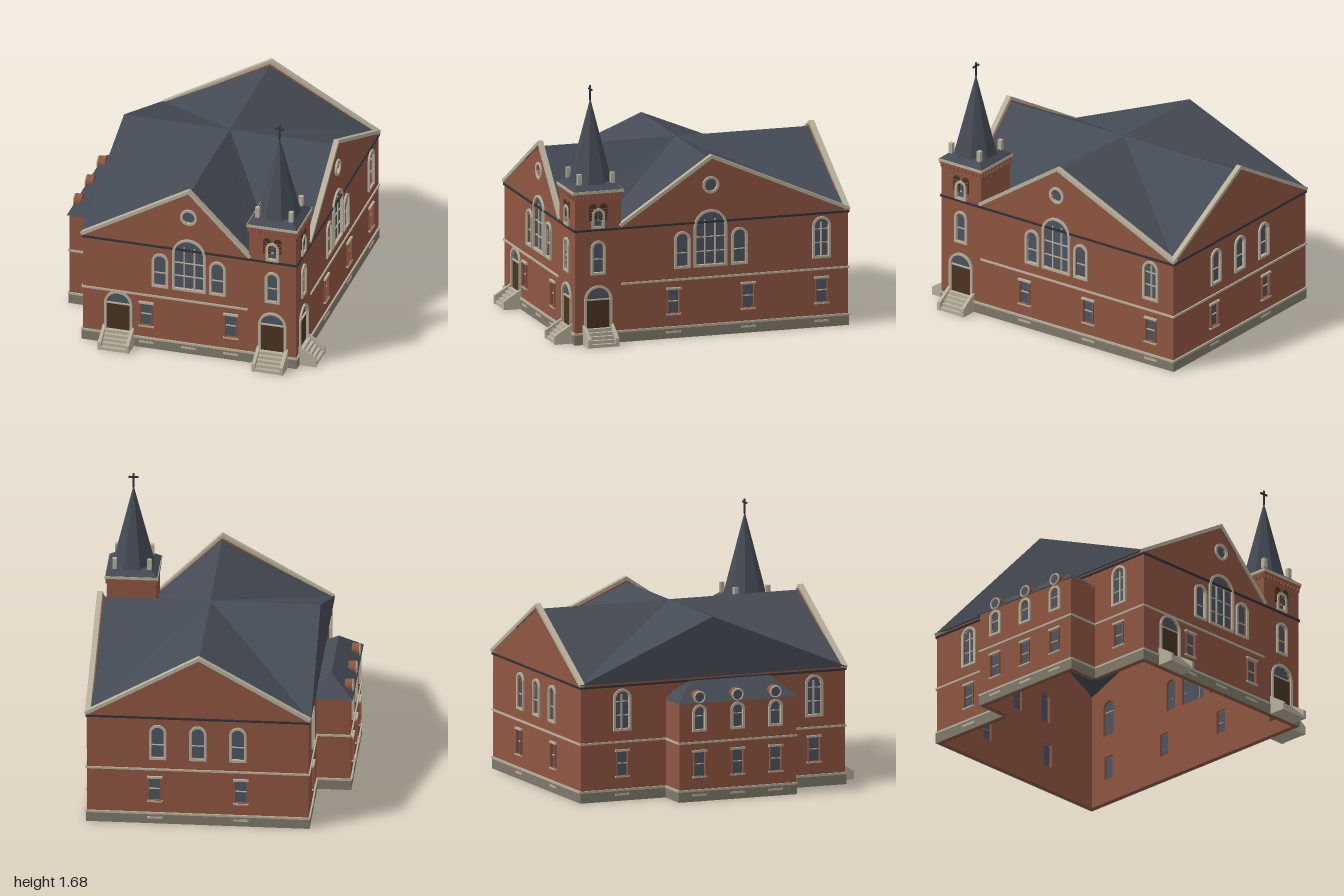
import * as THREE from 'three';

const mat = (name, color, double) => {
  const m = new THREE.MeshStandardMaterial({ color });
  m.name = name;
  if (double) m.side = THREE.DoubleSide;
  return m;
};
const M = {
  brick: mat('red brick', 0x8f5641),
  roof: mat('slate roof', 0x454b55, true),
  trim: mat('pale stone trim', 0xb7b09b),
  stone: mat('foundation stone', 0x7f7969),
  glass: mat('window glass', 0x4d5562, true),
  wood: mat('dark wood', 0x4a3422, true),
  iron: mat('dark iron', 0x2f3238),
};

function add(parent, name, geo, material, x = 0, y = 0, z = 0) {
  const m = new THREE.Mesh(geo, material);
  m.name = name;
  m.position.set(x, y, z);
  parent.add(m);
  return m;
}
const box = (p, name, m, w, h, d, x, y, z) => add(p, name, new THREE.BoxGeometry(w, h, d), m, x, y, z);
const extrude = (shape, depth) => new THREE.ExtrudeGeometry(shape, { depth, bevelEnabled: false, curveSegments: 12 });
const poly = (pts) => new THREE.Shape(pts.map(([x, y]) => new THREE.Vector2(x, y)));

// Flat faces given as corner loops
function faces(loops) {
  const v = [];
  for (const l of loops)
    for (let i = 1; i < l.length - 1; i++) v.push(...l[0], ...l[i], ...l[i + 1]);
  const g = new THREE.BufferGeometry();
  g.setAttribute('position', new THREE.Float32BufferAttribute(v, 3));
  g.computeVertexNormals();
  return g;
}

// Outline of an opening, shrunk by t
function outline(o, t = 0) {
  const s = new THREE.Shape();
  const r = o.w / 2 - t;
  if (o.kind === 'round') return s.absarc(o.u, o.y0, r, 0, Math.PI * 2, false);
  const b = o.y0 + (o.kind === 'door' ? 0 : t);
  const top = o.kind === 'rect' ? o.y1 - t : o.y1 - o.w / 2;
  s.moveTo(o.u - r, b);
  s.lineTo(o.u + r, b);
  s.lineTo(o.u + r, top);
  if (o.kind === 'rect') s.lineTo(o.u - r, top);
  else s.absarc(o.u, top, r, 0, Math.PI, false);
  s.closePath();
  return s;
}
const frameWidth = (o) => (o.kind === 'rect' ? 0.006 : 0.016);

// Frame, glazing and bars of one opening
function fillOpening(p, o) {
  const t = frameWidth(o);
  const ring = outline(o);
  ring.holes.push(outline(o, t));
  add(p, o.kind + 'Frame', extrude(ring, 0.024), o.kind === 'rect' ? M.brick : M.trim, 0, 0, -0.012);
  add(p, o.kind + 'Glass', new THREE.ShapeGeometry(outline(o, t)), M.glass, 0, 0, -0.01);
  const w = o.w - 2 * t;
  if (o.kind === 'door') {
    const h = o.y1 - o.w / 2 - o.y0;
    box(p, 'doorLeaf', M.wood, w, h, 0.008, o.u, o.y0 + h / 2, -0.008);
    box(p, 'doorTransom', M.trim, w, 0.008, 0.012, o.u, o.y0 + h, -0.004);
  } else if (o.kind !== 'round') {
    for (const y of o.bars || [(o.y0 + o.y1) / 2])
      box(p, 'crossBar', M.trim, w, 0.006, 0.008, o.u, y, -0.006);
    for (const du of o.posts || [])
      box(p, 'mullion', M.trim, 0.009, o.y1 - o.y0 - o.w * 0.3, 0.008, o.u + du, (o.y0 + o.y1 - o.w * 0.3) / 2, -0.006);
  }
  if (o.kind === 'rect') {
    box(p, 'lintel', M.trim, o.w + 0.014, 0.014, 0.03, o.u, o.y1, 0);
    box(p, 'sill', M.trim, o.w + 0.014, 0.01, 0.03, o.u, o.y0, 0);
  }
}

const rect = (u) => ({ kind: 'rect', u, w: 0.086, y0: 0.16, y1: 0.33 });
const arch = (u, y1 = 0.705, w = 0.112, more = {}) => ({ kind: 'arch', u, w, y0: 0.458, y1, bars: [0.56], ...more });
const tall = (u) => arch(u, 0.735, 0.125, { bars: [0.56, 0.65], posts: [0] });
const big = (u) => arch(u, 0.837, 0.226, { bars: [0.56, 0.655, 0.75], posts: [-0.035, 0.035] });
const rose = (u) => ({ kind: 'round', u, y0: 1.0, w: 0.114 });
const door = (u) => ({ kind: 'door', u, w: 0.19, y0: 0.1, y1: 0.387 });

// Wall with openings; local x runs along the wall, local z points outward
function facade(root, name, x, z, ry, pts, openings, { span, course = span, gutter = span, vents = [], rakes = [] }) {
  const g = new THREE.Group();
  g.name = name;
  g.position.set(x, 0, z);
  g.rotation.y = ry;
  root.add(g);
  const s = poly(pts);
  for (const o of openings) s.holes.push(outline(o, frameWidth(o)));
  add(g, 'brickWall', extrude(s, 0.03), M.brick, 0, 0, -0.03);
  for (const o of openings) fillOpening(g, o);
  const strip = (n, m, [a, b], y, h, out) => box(g, n, m, b - a, h, out + 0.005, (a + b) / 2, y, (out - 0.005) / 2);
  strip('foundation', M.stone, span, 0.033, 0.066, 0.006);
  strip('waterTable', M.trim, span, 0.072, 0.014, 0.01);
  if (course) strip('stringCourse', M.trim, course, 0.386, 0.013, 0.009);
  if (gutter) strip('gutter', M.iron, gutter, 0.755, 0.013, 0.009);
  for (const u of vents) box(g, 'vent', M.trim, 0.1, 0.015, 0.008, u, 0.042, 0.005);
  for (const [a, b, c, d] of rakes) {
    const r = box(g, 'gableTrim', M.trim, Math.hypot(c - a, d - b) + 0.012, 0.022, 0.035, (a + c) / 2, (b + d) / 2, -0.006);
    r.rotation.z = Math.atan2(d - b, c - a);
  }
  return g;
}

// Steps climbing toward the wall between sloping cheeks
function stairs(parent, u) {
  const g = new THREE.Group();
  g.name = 'steps';
  g.position.x = u;
  parent.add(g);
  for (let i = 0; i < 5; i++) {
    const d = 0.115 - i * 0.022, h = 0.021;
    box(g, 'step', M.trim, 0.17, h, d, 0, h * (i + 0.5), d / 2);
  }
  const cheek = extrude(poly([[0, 0], [0.12, 0], [0.12, 0.055], [0, 0.13]]), 0.022);
  cheek.rotateY(-Math.PI / 2);
  for (const x of [-0.083, 0.105]) add(g, 'stairCheek', cheek, M.trim, x, 0, 0);
}

// Belfry openings and tall window on an outer tower face
function towerFace(g, u) {
  for (const s of [-1, 1]) {
    const o = { kind: 'arch', u: u + s * 0.036, w: 0.052, y0: 0.82, y1: 0.93 };
    add(g, 'louver', extrude(outline(o), 0.004), M.wood);
    for (let i = 0; i < 4; i++) box(g, 'slat', M.brick, 0.046, 0.005, 0.005, o.u, 0.835 + i * 0.02, 0.003);
  }
}

export function createModel() {
  const root = new THREE.Group();
  root.name = 'church';
  const H = Math.PI / 2;
  const belfry = (u) => ({ kind: 'arch', u, w: 0.088, y0: 0.765, y1: 0.9, bars: [0.82] });
  const tx = 0.62, tz = 0.723;

  // Main walls
  const front = facade(root, 'frontWall', 0, 0.88, 0,
    [[-0.66, 0], [0.78, 0], [0.78, 1], [0.46, 1], [0.46, 0.775], [0.055, 1.175], [-0.66, 0.775]],
    [door(-0.42), door(tx), rect(-0.23), rect(0.34), arch(-0.137), arch(0.25), big(0.057), rose(0.055), arch(tx, 0.685, 0.1), belfry(tx)],
    { span: [-0.666, 0.786], course: [-0.666, 0.455], vents: [-0.23, 0.055, 0.34],
      rakes: [[-0.665, 0.775, 0.055, 1.187], [0.465, 0.775, 0.055, 1.187]] });
  const right = facade(root, 'rightWall', 0.78, 0, H,
    [[-0.88, 0], [0.98, 0], [0.98, 0.775], [0.05, 1.175], [-0.565, 0.775], [-0.565, 1], [-0.88, 1]],
    [door(-tz), rect(-0.21), rect(0.3), rect(0.8), arch(-0.15), arch(0.24), big(0.042), tall(0.8), rose(0.045), arch(-tz, 0.685, 0.1), belfry(-tz)],
    { span: [-0.886, 0.986], course: [-0.565, 0.986], vents: [-0.21, 0.3, 0.8],
      rakes: [[-0.57, 0.775, 0.05, 1.187], [0.985, 0.775, 0.05, 1.187]] });
  facade(root, 'backWall', 0, -0.98, Math.PI,
    [[-0.78, 0], [0.66, 0], [0.66, 0.775], [-0.055, 1.175], [-0.78, 0.775]],
    [arch(-0.32), arch(-0.06), arch(0.2), rect(-0.34), rect(0.22)],
    { span: [-0.786, 0.666], vents: [-0.34, 0.22],
      rakes: [[-0.785, 0.775, -0.055, 1.187], [0.665, 0.775, -0.055, 1.187]] });
  const left = facade(root, 'leftWall', -0.66, 0, -H,
    [[-0.98, 0], [-0.38, 0], [-0.38, 0.65], [0.44, 0.65], [0.44, 0], [0.88, 0], [0.88, 0.775], [-0.98, 0.775]],
    [tall(-0.69), tall(0.66), rect(-0.69), rect(0.66)],
    { span: [-0.986, -0.38], vents: [-0.69], gutter: [-0.986, 0.886] });
  box(left, 'foundation', M.stone, 0.446, 0.066, 0.011, 0.663, 0.033, 0.001);
  box(left, 'waterTable', M.trim, 0.446, 0.014, 0.015, 0.663, 0.072, 0.003);
  box(left, 'stringCourse', M.trim, 0.446, 0.013, 0.014, 0.663, 0.386, 0.002);
  stairs(front, -0.42);
  stairs(front, tx);
  stairs(right, -tz);
  towerFace(front, tx);
  towerFace(right, -tz);

  // Cross-gabled roof with four level ridges
  const E = 0.775, R = 1.163, x0 = -0.675, x1 = 0.786, z0 = -0.986, z1 = 0.886, cx = 0.055, cz = -0.052;
  const C = [cx, R, cz], F = [cx, R, z1], B = [cx, R, z0], L = [-0.66, R, cz], Rt = [x1, R, cz];
  const fl = [x0, E, z1], bl = [x0, E, z0], br = [x1, E, z0], V = [0.51, 0.75, 0.58];
  add(root, 'mainRoof', faces([
    [C, fl, F], [C, L, fl], [C, bl, L], [C, B, bl], [C, br, B], [C, Rt, br],
    [C, V, [x1, E, 0.565], Rt], [C, F, [0.465, E, z1], V], [L, bl, fl],
  ]), M.roof);

  // Side annex
  const ax = -0.88, cols = [-0.24, 0.028, 0.295];
  facade(root, 'annexWall', ax, 0, -H, [[-0.38, 0], [0.44, 0], [0.44, 0.65], [-0.38, 0.65]],
    cols.flatMap((u) => [rect(u), arch(u, 0.635, 0.1)]), { span: [-0.386, 0.446], gutter: null, vents: cols });
  const side = (w) => [[-w, 0], [w, 0], [w, 0.65], [-w, 0.65]];
  facade(root, 'annexFrontWall', -0.77, 0.44, 0, side(0.11), [], { span: [-0.11, 0.11], gutter: null });
  facade(root, 'annexBackWall', -0.77, -0.38, Math.PI, side(0.11), [], { span: [-0.11, 0.11], gutter: null });
  const e = 0.645, r0 = [-0.747, 0.77, -0.25], r1 = [-0.747, 0.77, 0.31];
  const a0 = [-0.897, e, -0.39], a1 = [-0.897, e, 0.45], k0 = [-0.66, 0.7, -0.325], k1 = [-0.66, 0.7, 0.385];
  add(root, 'annexRoof', faces([
    [a0, a1, r1, r0], [r0, r1, k1, k0],
    [a0, r0, k0, [-0.66, e, -0.39]], [a1, [-0.66, e, 0.45], k1, r1],
  ]), M.roof);
  for (const z of cols) {
    const d = new THREE.Group();
    d.name = 'roundDormer';
    d.position.set(-0.865, 0.683, z);
    d.rotation.y = -H;
    root.add(d);
    add(d, 'dormerBody', new THREE.CylinderGeometry(0.042, 0.042, 0.05, 20).rotateX(H), M.brick, 0, 0, -0.005);
    add(d, 'dormerRing', new THREE.TorusGeometry(0.036, 0.007, 6, 20), M.trim, 0, 0, 0.02);
    add(d, 'dormerGlass', new THREE.CircleGeometry(0.032, 20), M.glass, 0, 0, 0.0215);
  }

  // Tower above the roof
  const tower = new THREE.Group();
  tower.name = 'tower';
  tower.position.set(tx, 0, tz);
  root.add(tower);
  box(tower, 'innerSideWall', M.brick, 0.02, 0.3, 0.31, -0.15, 0.85, 0);
  box(tower, 'innerBackWall', M.brick, 0.31, 0.3, 0.02, 0, 0.85, -0.148);
  for (let s = 0; s < 4; s++) {
    const g = new THREE.Group();
    g.name = 'corbels';
    g.rotation.y = s * H;
    tower.add(g);
    for (let i = 0; i < 11; i++) box(g, 'corbel', M.brick, 0.015, 0.025, 0.016, -0.15 + i * 0.03, 0.972, 0.161);
    box(g, 'corbelBand', M.brick, 0.335, 0.015, 0.02, 0, 0.992, 0.158);
  }
  box(tower, 'cornice', M.trim, 0.345, 0.018, 0.345, 0, 1.008, 0);
  const skirt = new THREE.CylinderGeometry(0.17, 0.238, 0.04, 4).rotateY(Math.PI / 4).toNonIndexed();
  skirt.computeVertexNormals();
  add(tower, 'towerSkirtRoof', skirt, M.roof, 0, 1.037, 0);
  const spire = new THREE.ConeGeometry(0.142, 0.55, 8).rotateY(Math.PI / 8).toNonIndexed();
  spire.computeVertexNormals();
  add(tower, 'spire', spire, M.roof, 0, 1.32, 0);
  for (const x of [-1, 1])
    for (const z of [-1, 1]) box(tower, 'pinnacle', M.trim, 0.028, 0.075, 0.028, x * 0.113, 1.085, z * 0.113);
  box(tower, 'crossPost', M.iron, 0.01, 0.1, 0.01, 0, 1.63, 0);
  box(tower, 'crossArm', M.iron, 0.062, 0.01, 0.01, 0, 1.655, 0);
  return root;
}
